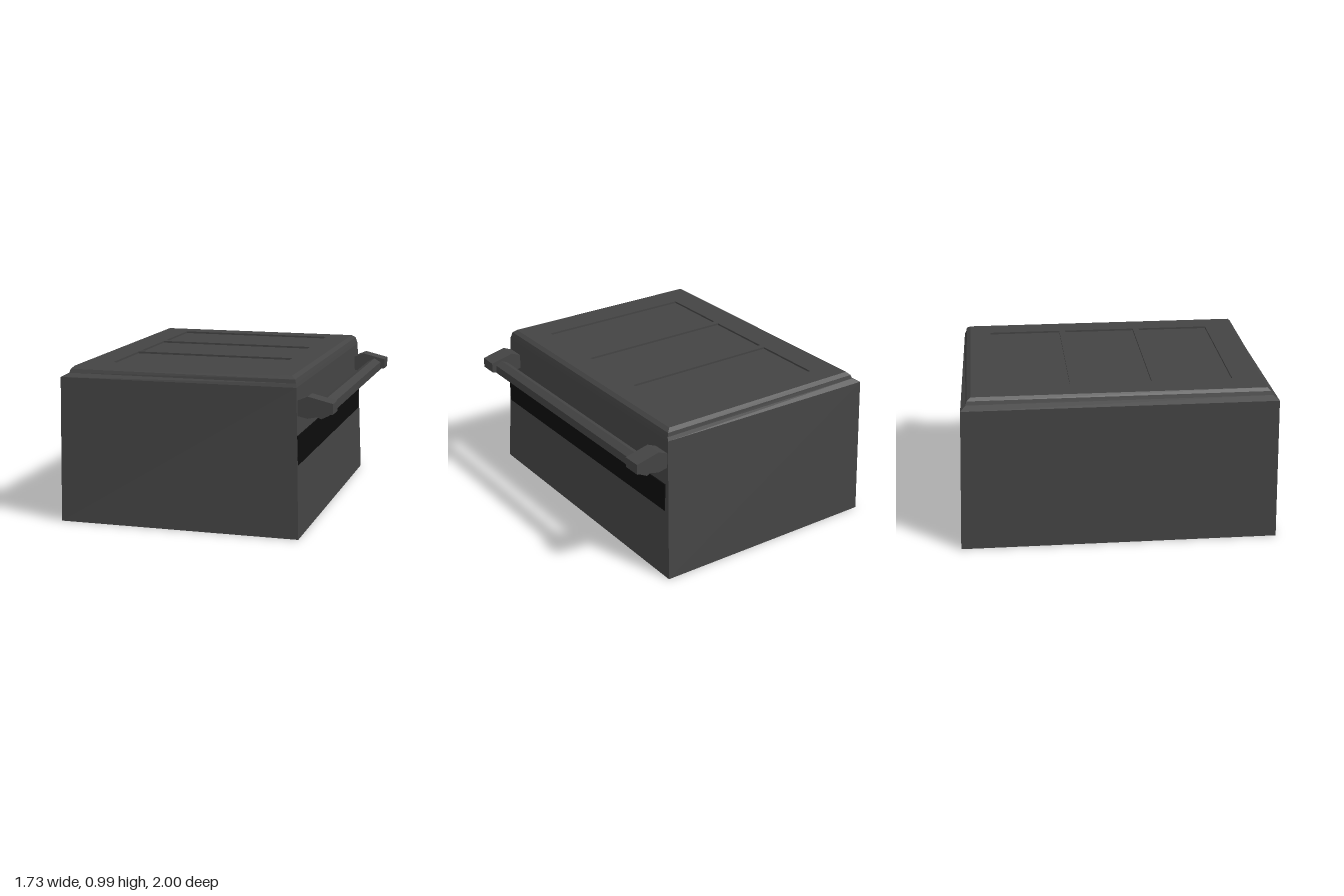
import * as THREE from 'three';

const grey = new THREE.MeshStandardMaterial({ color: 0x444444, flatShading: true });
const black = new THREE.MeshStandardMaterial({ color: 0x0c0c0c, flatShading: true });

// Corners of a level ring, seen from above: back left, front left, front right, back right
const ring = (y, x0, x1, zb0, zf0, zb1 = zb0, zf1 = zf0) =>
  [[x0, y, zb0], [x0, y, zf0], [x1, y, zf1], [x1, y, zb1]];

// Skin over four-cornered rings; descending rings make an inward-facing pocket
function loft(rings, capStart, capEnd) {
  const p = [];
  const quad = (a, b, c, d) => p.push(...a, ...b, ...c, ...a, ...c, ...d);
  for (let i = 0; i < rings.length - 1; i++) {
    const lo = rings[i], hi = rings[i + 1];
    for (let j = 0; j < 4; j++) {
      const k = (j + 1) % 4;
      quad(lo[j], lo[k], hi[k], hi[j]);
    }
  }
  if (capStart) quad(...[...rings[0]].reverse());
  if (capEnd) quad(...rings[rings.length - 1]);
  const g = new THREE.BufferGeometry();
  g.setAttribute('position', new THREE.Float32BufferAttribute(p, 3));
  g.computeVertexNormals();
  return g;
}

// Prism along z from an (x, y) outline
function prism(points, z0, z1) {
  const shape = new THREE.Shape(points.map(([x, y]) => new THREE.Vector2(x, y)));
  const g = new THREE.ExtrudeGeometry(shape, { depth: z1 - z0, bevelEnabled: false });
  return g.translate(0, 0, z0);
}

export function createModel() {
  const group = new THREE.Group();
  const add = (name, geometry, material = grey) => {
    const mesh = new THREE.Mesh(geometry, material);
    mesh.name = name;
    group.add(mesh);
  };

  // Tapered body with a stepped, bevelled rim
  const top = 0.985;
  add('body', loft([
    ring(0, -0.865, 0.67, -1, 1),
    ring(0.92, -0.855, 0.64, -0.97, 0.985, -0.945, 0.955),
    ring(0.943, -0.812, 0.635, -0.937, 0.95, -0.935, 0.945),
    ring(0.967, -0.805, 0.628, -0.93, 0.94),
    ring(top, -0.785, 0.603, -0.905, 0.92),
  ], true, false));

  // Lid surface with three shallow recessed panels
  const rect = (C, x0, x1, z0, z1) => new C(
    [[x0, -z1], [x1, -z1], [x1, -z0], [x0, -z0]].map(([x, y]) => new THREE.Vector2(x, y)));
  const lid = rect(THREE.Shape, -0.785, 0.603, -0.905, 0.92);
  for (const [z0, z1] of [[-0.765, -0.29], [-0.25, 0.222], [0.263, 0.732]]) {
    lid.holes.push(rect(THREE.Path, -0.605, 0.445, z0, z1));
    add('recessedPanel', loft([
      ring(top, -0.605, 0.445, z0, z1),
      ring(top - 0.012, -0.605, 0.445, z0, z1),
    ], false, true));
  }
  add('lid', new THREE.ShapeGeometry(lid).rotateX(-Math.PI / 2).translate(0, top, 0));

  // Dark band across the handle side
  add('darkBand', new THREE.BoxGeometry(0.04, 0.18, 1.9).translate(0.637, 0.54, 0.015), black);

  // Handle: six-sided bar held by two wedge-shaped brackets
  add('handleBar', prism([
    [0.74, 0.757], [0.787, 0.734], [0.83, 0.755], [0.83, 0.81], [0.787, 0.835], [0.74, 0.81],
  ], -0.94, 0.935));
  for (const [z0, z1] of [[-0.945, -0.825], [0.82, 0.94]]) {
    add('handleBracket', prism([
      [0.63, 0.75], [0.705, 0.734], [0.86, 0.767], [0.86, 0.831], [0.705, 0.868], [0.63, 0.836],
    ], z0, z1));
  }
  return group;
}
